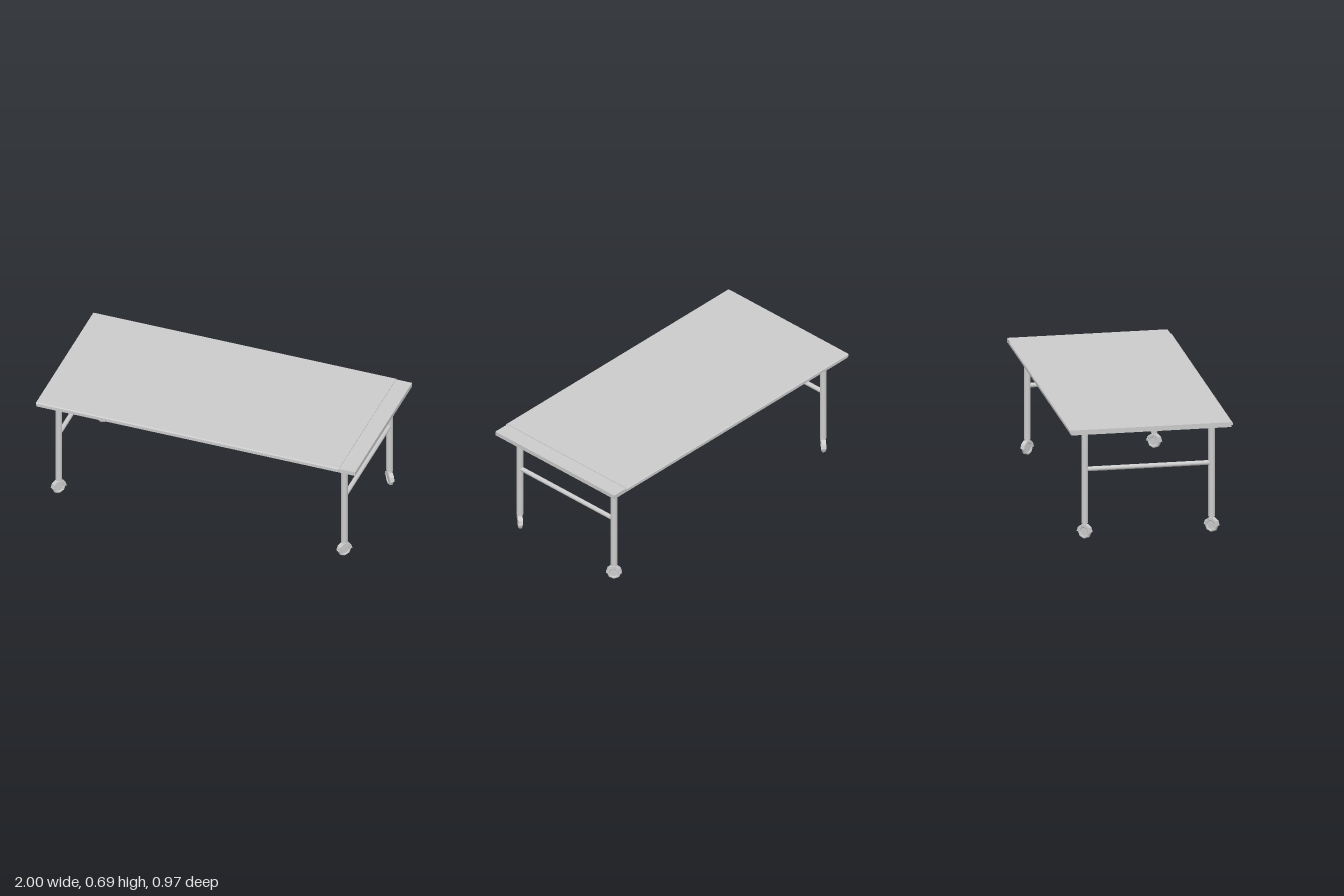
import * as THREE from 'three';

export function createModel() {
  const group = new THREE.Group();
  const smooth = new THREE.MeshStandardMaterial({ color: 0xcccccc });
  const flat = new THREE.MeshStandardMaterial({ color: 0xcccccc, flatShading: true });

  const add = (parent, name, geometry, x, y, z, material = smooth) => {
    const mesh = new THREE.Mesh(geometry, material);
    mesh.name = name;
    mesh.position.set(x, y, z);
    parent.add(mesh);
    return mesh;
  };

  // Core board, showing as a bare strip at the left end
  add(group, 'tableCore', new THREE.BoxGeometry(2, 0.026, 0.96), 0, 0.678, 0);

  // Top sheet with chamfered long edges, stopping short of the left end
  const profile = new THREE.Shape([
    [-0.487, 0.677], [0.487, 0.677], [0.487, 0.69], [0.48, 0.695], [-0.48, 0.695], [-0.487, 0.69],
  ].map(([z, y]) => new THREE.Vector2(z, y)));
  const sheet = new THREE.ExtrudeGeometry(profile, { depth: 1.9, bevelEnabled: false });
  sheet.rotateY(Math.PI / 2);
  add(group, 'tableTop', sheet, -1, 0, 0, flat);

  // Caster parts, built around a wheel axle along z
  const wheel = new THREE.LatheGeometry([
    [0, -0.008], [0.026, -0.008], [0.03, -0.012], [0.038, -0.012], [0.043, -0.007],
    [0.043, 0.007], [0.038, 0.012], [0.03, 0.012], [0.026, 0.008], [0, 0.008],
  ].map(([r, h]) => new THREE.Vector2(r, h)), 8);
  wheel.rotateX(Math.PI / 2);

  const arc = (r) => Array.from({ length: 6 }, (_, i) =>
    new THREE.Vector2(r * Math.cos(i * Math.PI / 5), r * Math.sin(i * Math.PI / 5)));
  const hoodShape = new THREE.Shape([...arc(0.047), ...arc(0.036).reverse()]);
  const hood = new THREE.ExtrudeGeometry(hoodShape, { depth: 0.028, bevelEnabled: false });
  hood.translate(0, 0, -0.014);

  const leg = new THREE.CylinderGeometry(0.02, 0.02, 0.57, 24);
  const stem = new THREE.CylinderGeometry(0.007, 0.007, 0.03, 12);
  const bar = new THREE.CylinderGeometry(0.014, 0.014, 0.74, 20);
  bar.rotateX(Math.PI / 2);

  // Two end frames, each with two legs, a crossbar and swivelled casters
  for (const x of [-0.896, 0.896]) {
    const frame = new THREE.Group();
    frame.name = x > 0 ? 'leftFrame' : 'rightFrame';
    group.add(frame);
    add(frame, 'crossbar', bar, x, 0.425, 0);
    for (const z of [-0.38, 0.38]) {
      add(frame, 'leg', leg, x, 0.38, z);
      const caster = new THREE.Group();
      caster.name = 'caster';
      caster.position.set(x, 0.043, z);
      caster.rotation.y = x > 0 && z < 0 ? 2.27 : 0.87;
      add(caster, 'wheel', wheel, 0, 0, 0, flat);
      add(caster, 'wheelHood', hood, 0, 0, 0, flat);
      add(caster, 'casterStem', stem, 0, 0.052, 0);
      frame.add(caster);
    }
  }
  return group;
}
